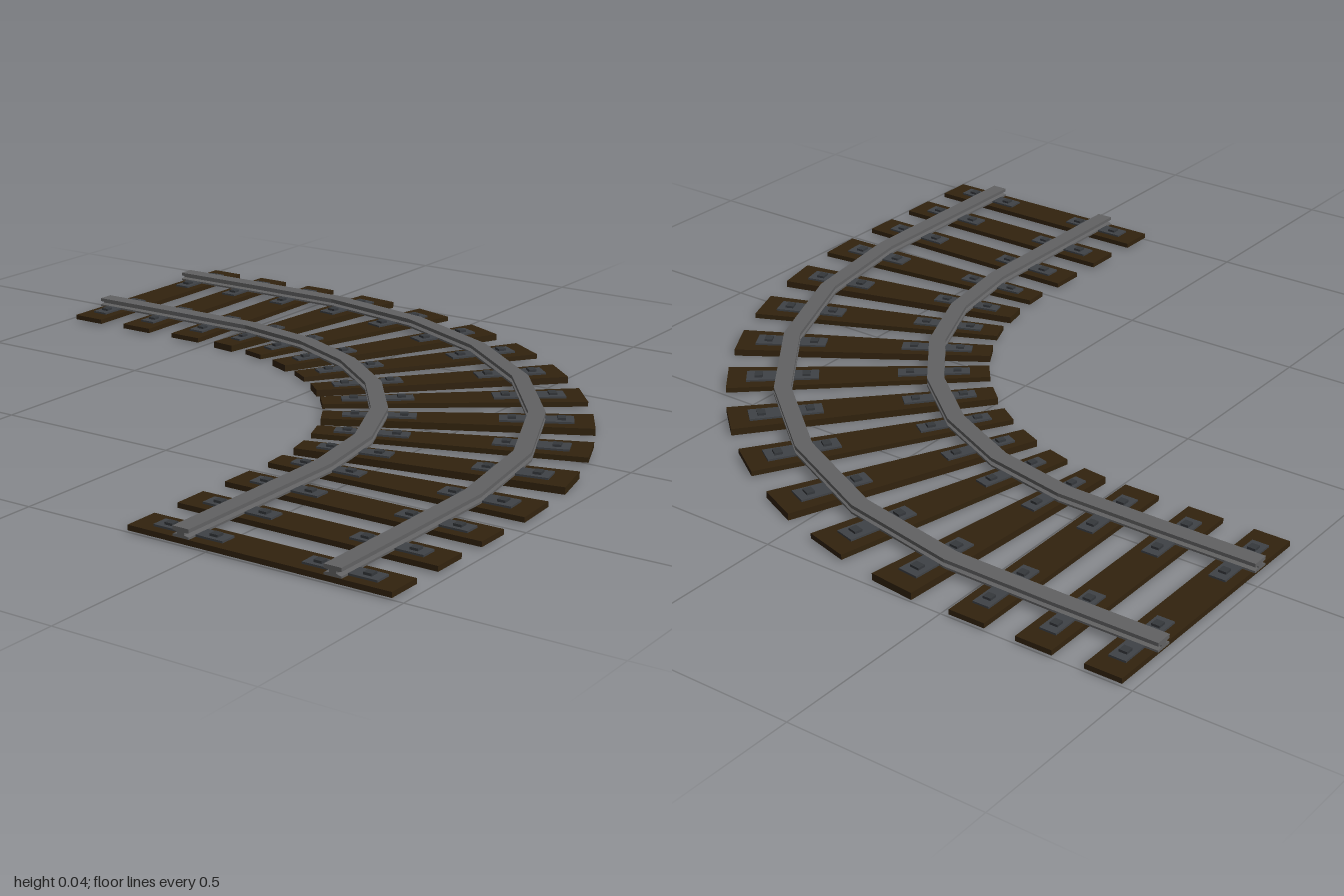
import * as THREE from 'three';

// Track centre line: straight, quarter turn, straight
const R = 1.15, CX = -0.495, CZ = -0.52;
const START = 0.46, ARC = R * Math.PI / 2, LENGTH = START + ARC + 0.505;
const GAUGE = 0.197;

// Turns (sideways offset, height, distance along the track) into a position
function bend(geometry) {
  const g = geometry.index ? geometry.toNonIndexed() : geometry;
  const p = g.attributes.position;
  for (let i = 0; i < p.count; i++) {
    const r = R + p.getX(i), s = p.getZ(i);
    const a = THREE.MathUtils.clamp((s - START) / R, 0, Math.PI / 2);
    let x = CX + r * Math.cos(a), z = CZ + r * Math.sin(a);
    if (s < START) z -= START - s;
    if (s > START + ARC) x -= s - START - ARC;
    p.setXYZ(i, x, p.getY(i), z);
  }
  g.computeVertexNormals();
  return g;
}

function bentBox(width, y0, y1, depth, u, s) {
  return bend(new THREE.BoxGeometry(width, y1 - y0, depth).translate(u, (y0 + y1) / 2, s));
}

export function createModel() {
  const group = new THREE.Group();
  group.name = 'curvedTrack';
  const material = (name, color) => {
    const m = new THREE.MeshStandardMaterial({ color });
    m.name = name;
    return m;
  };
  const wood = material('darkWood', 0x32230e);
  const steel = material('railSteel', 0x626263);
  const iron = material('plateIron', 0x3f4246);
  const boltIron = material('boltIron', 0x35383c);
  const add = (name, geometry, mat, parent = group) => {
    const mesh = new THREE.Mesh(geometry, mat);
    mesh.name = name;
    parent.add(mesh);
  };

  // Sleepers, with a plate and two bolts under each rail
  for (let i = 0; i < 16; i++) {
    const s = 0.055 + i * 0.178;
    const unit = new THREE.Group();
    unit.name = 'sleeperUnit';
    group.add(unit);
    const bottom = i > 2 && i < 13 && i % 2 ? 0 : 0.005;
    add('sleeper', bentBox(0.685, bottom, 0.018, 0.095, 0, s), wood, unit);
    for (const side of [-1, 1]) {
      const u = side * GAUGE;
      add('railPlate', bentBox(0.188, 0.017, 0.023, 0.044, u, s), iron, unit);
      for (const k of [-1, 1])
        add('bolt', bentBox(0.021, 0.022, 0.029, 0.021, u + k * 0.062, s), boltIron, unit);
    }
  }

  // Rails: head, web and foot in one profile, bent in straight facets
  const half = [[0.022, 0.018], [0.022, 0.023], [0.009, 0.026], [0.009, 0.031], [0.022, 0.033], [0.022, 0.042]];
  const outline = [...half, ...half.map(([x, y]) => [-x, y]).reverse()];
  for (const side of [-1, 1]) {
    const shape = new THREE.Shape(outline.map(([x, y]) => new THREE.Vector2(x + side * GAUGE, y)));
    const rail = new THREE.ExtrudeGeometry(shape, { depth: LENGTH, steps: 10, bevelEnabled: false });
    add(side < 0 ? 'innerRail' : 'outerRail', bend(rail), steel);
  }
  return group;
}
